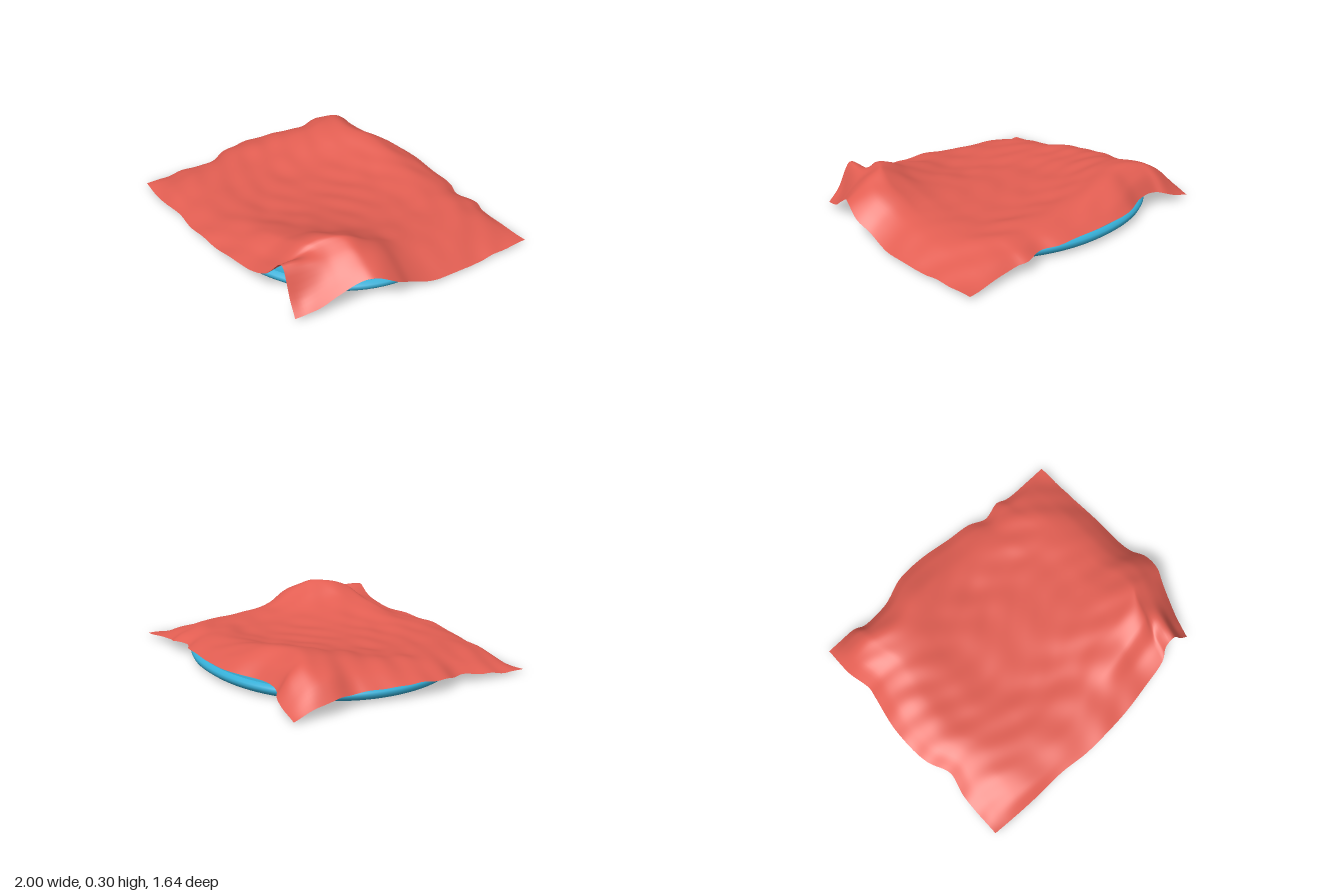
import * as THREE from 'three';

const V = (a) => new THREE.CatmullRomCurve3(a.map(([x, z]) => new THREE.Vector3(x, 0, z)));

// Outline of the cloth, seen from above (x, z)
const back = V([[-.82, -.82], [-.63, -.78], [-.57, -.74], [-.4, -.73], [-.2, -.78], [0, -.77], [.2, -.73],
  [.36, -.7], [.46, -.65], [.6, -.67], [.66, -.645], [1, -.625]]);
const front = V([[-1, .67], [-.7, .72], [-.5, .745], [-.3, .79], [0, .815], [.2, .81], [.4, .795],
  [.45, .765], [.52, .77], [.56, .78], [.66, .81]]);
const left = V([[-.82, -.82], [-.85, -.6], [-.84, -.45], [-.86, -.38], [-.93, -.15], [-.95, .1], [-.91, .25],
  [-.96, .4], [-1, .67]]);
const right = V([[1, -.625], [.97, -.4], [.95, -.2], [.92, 0], [.88, .2], [.885, .3], [.84, .42], [.79, .5], [.66, .81]]);

// Cloth heights: rows run back to front, columns run from -x to +x
const knots = [0, .05, .13, .28, .5, .72, .84, .91, .96, 1];
const last = knots.length - 1;
const heights = [
  [.01, .03, .08, .10, .085, .07, .05, .035, .025, .02],
  [.04, .10, .18, .17, .13, .11, .09, .06, .035, .02],
  [.07, .165, .225, .23, .16, .135, .12, .08, .045, .015],
  [.08, .15, .195, .175, .125, .12, .125, .10, .055, .01],
  [.085, .13, .15, .125, .12, .14, .155, .14, .09, .03],
  [.05, .10, .12, .115, .125, .215, .295, .27, .22, .175],
  [.035, .07, .105, .115, .13, .21, .275, .24, .17, .10],
  [.02, .05, .085, .10, .12, .145, .20, .24, .12, .04],
  [.015, .03, .06, .085, .105, .12, .17, .245, .09, .02],
  [.02, .012, .015, .05, .09, .105, .145, .24, .09, .01],
];

function cubic(f, t) {
  let i = 0;
  while (i < last - 1 && t > knots[i + 1]) i++;
  const d = knots[i + 1] - knots[i], s = (t - knots[i]) / d, s2 = s * s, s3 = s2 * s;
  const slope = (k) => {
    const a = Math.max(k - 1, 0), b = Math.min(k + 1, last);
    return (f(b) - f(a)) / (knots[b] - knots[a]);
  };
  return (2 * s3 - 3 * s2 + 1) * f(i) + (s3 - 2 * s2 + s) * d * slope(i)
    + (3 * s2 - 2 * s3) * f(i + 1) + (s3 - s2) * d * slope(i + 1);
}

// Point on the cloth: plan position blended from the four edges, height from the grid plus wrinkles
function clothPoint(u, v) {
  const b = back.getPointAt(u), f = front.getPointAt(u), l = left.getPointAt(v), r = right.getPointAt(v);
  const blend = (k) => (1 - v) * b[k] + v * f[k] + (1 - u) * l[k] + u * r[k]
    - (1 - u) * (1 - v) * back.points[0][k] - u * (1 - v) * right.points[0][k]
    - (1 - u) * v * front.points[0][k] - u * v * right.points[8][k];
  const x = blend('x'), z = blend('z');
  const row = heights.map((h) => cubic((k) => h[k], u));
  const wrinkle = .0025 * Math.sin(38 * z + 4 * Math.sin(5 * x)) * (1 - .8 * u)
    + .003 * Math.sin(15 * x + 3 * Math.sin(6 * z)) * Math.sin(12 * z + 2 * Math.sin(5 * x))
    + .002 * Math.sin(23 * x - 11 * z + 2 * Math.sin(9 * z));
  const y = cubic((k) => row[k], v) + wrinkle;
  return new THREE.Vector3(x, Math.max(y, .008), z);
}

// Cloth height above a plan position
function clothHeight(x, z) {
  let u = .5, v = .5, p;
  for (let i = 0; i < 9; i++) {
    p = clothPoint(u, v);
    u = THREE.MathUtils.clamp(u + (x - p.x) / 1.85, 0, 1);
    v = THREE.MathUtils.clamp(v + (z - p.z) / 1.5, 0, 1);
  }
  return p.y;
}

function gridMesh(name, rows, cols, point, material) {
  const pos = [], index = [];
  for (let j = 0; j <= rows; j++) for (let i = 0; i <= cols; i++) pos.push(...point(i / cols, j).toArray());
  for (let j = 0; j < rows; j++) for (let i = 0; i < cols; i++) {
    const a = j * (cols + 1) + i, c = a + cols + 1;
    index.push(a, c, a + 1, a + 1, c, c + 1);
  }
  const g = new THREE.BufferGeometry();
  g.setAttribute('position', new THREE.Float32BufferAttribute(pos, 3));
  g.setIndex(index);
  g.computeVertexNormals();
  const mesh = new THREE.Mesh(g, material);
  mesh.name = name;
  return mesh;
}

export function createModel() {
  const red = new THREE.MeshStandardMaterial({ color: 0xe25e52, side: THREE.DoubleSide });
  red.name = 'coral red';
  const blue = new THREE.MeshStandardMaterial({ color: 0x37b0d8, side: THREE.DoubleSide });
  blue.name = 'sky blue';
  const group = new THREE.Group();
  group.name = 'covered cushion';

  // Draped cloth
  group.add(gridMesh('cloth', 100, 100, (u, j) => clothPoint(u, j / 100), red));

  // Slightly skewed oval cushion in rings of (scale, height), kept under the cloth
  const ring = (u, s, y) => {
    const a = u * Math.PI * 2, e = 2 / 2.1;
    const c = Math.cos(a), n = Math.sin(a);
    const x = -.03 + .865 * s * Math.sign(c) * Math.abs(c) ** e;
    const z = -.012 + .06 * x + .762 * s * Math.sign(n) * Math.abs(n) ** e;
    const top = y < .02 ? y : Math.max(.012, Math.min(y, clothHeight(x, z) - .012));
    return new THREE.Vector3(x, top, z);
  };
  const part = (name, profile) => group.add(
    gridMesh(name, profile.length - 1, 96, (u, j) => ring(u, ...profile[j]), blue));
  part('cushionTop', [[0, .3], [.12, .3], [.25, .3], [.38, .3], [.5, .3], [.6, .3], [.68, .3], [.75, .3], [.82, .27],
    [.88, .22], [.93, .16], [.96, .11], [.965, .07]]);
  part('cushionRim', [[.95, .074], [.98, .07], [.995, .058], [1, .045], [.99, .028], [.965, .013], [.92, .003], [.87, 0]]);
  part('cushionBottom', [[.87, 0], [.45, 0], [0, 0]]);
  return group;
}
